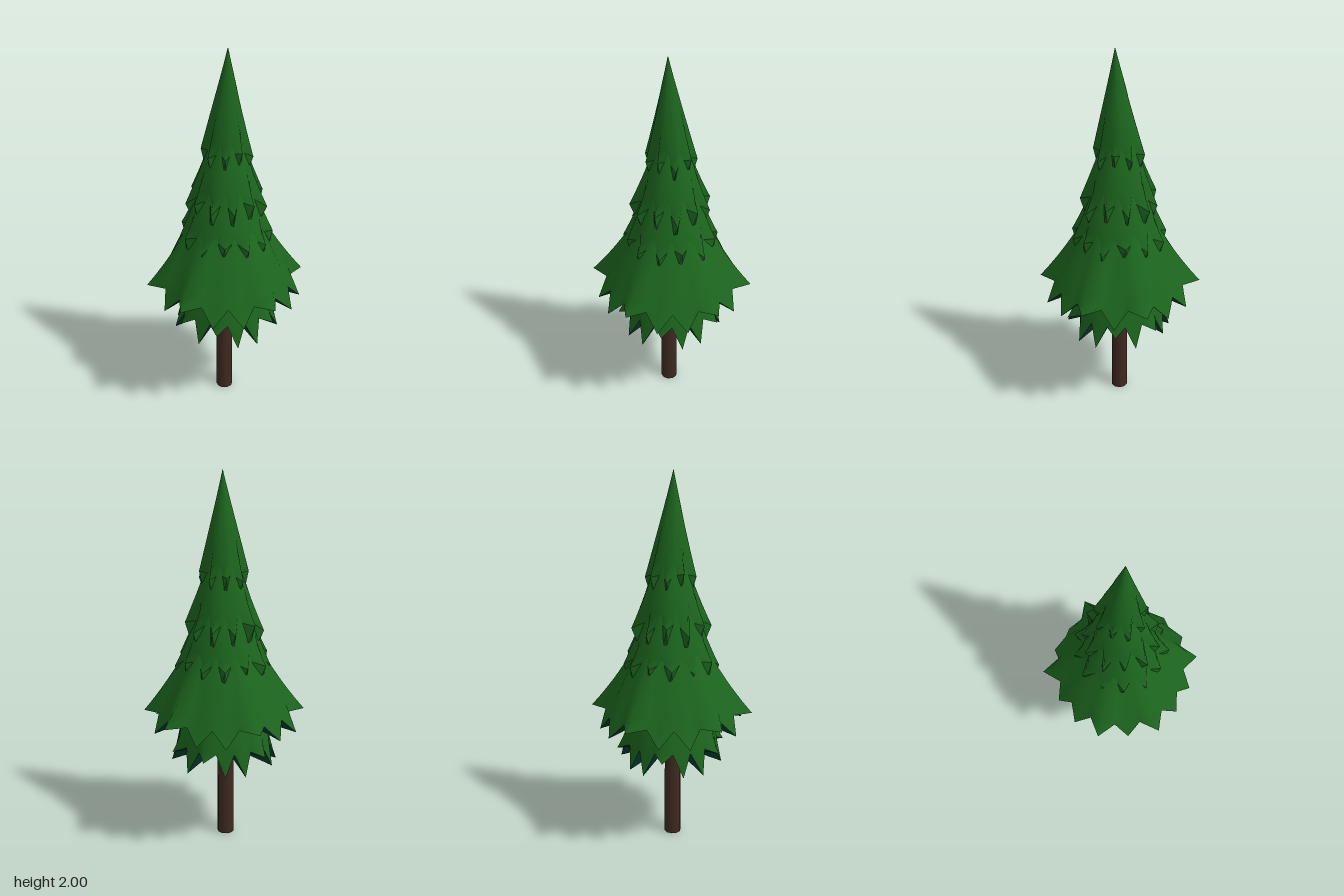
import * as THREE from 'three';

const needles = new THREE.MeshStandardMaterial({ color: 0x1c651e });
const underside = new THREE.MeshStandardMaterial({ color: 0x043a2d });
const bark = new THREE.MeshStandardMaterial({ color: 0x402a20 });

// Joins closed rings of points, listed from the top down and then inwards
function skin(rings) {
  const n = rings[0].length;
  const index = [];
  for (let j = 0; j < rings.length - 1; j++) {
    for (let i = 0; i < n; i++) {
      const a = j * n + i, b = j * n + (i + 1) % n;
      index.push(a, b, b + n, a, b + n, a + n);
    }
  }
  const g = new THREE.BufferGeometry();
  g.setAttribute('position', new THREE.Float32BufferAttribute(rings.flat(2), 3));
  g.setIndex(index);
  return g;
}

// One skirt of branches: a cone whose rim folds into spike tips and notches
function makeTier({ name, top, cone, tips, notch, inner, under, bend = 1.2, fold = 3, turn = 0, lean = 0 }) {
  const n = tips.length * 2;
  const rim = [];
  for (let i = 0; i < n; i++) rim.push(i % 2 ? notch : tips[i / 2]);
  const at = (i, r, y, z = 0) => {
    const a = turn + (i / n) * Math.PI * 2;
    return [r * Math.sin(a), y, z - r * Math.cos(a)];
  };
  const rings = [];
  for (let t = 0; t < 1.01; t += 0.125) {
    rings.push(rim.map(([r, y], i) => at(i,
      top[0] + (cone - top[0]) * t ** bend + (r - cone) * t ** fold,
      top[1] + (y - top[1]) * t, lean * (1 - t))));
  }
  const below = [rings[rings.length - 1], rim.map((p, i) => at(i, inner[0], inner[1]))];

  const branches = new THREE.Mesh(skin(rings), needles);
  branches.name = name + 'Branches';
  const shade = new THREE.Mesh(skin(below).toNonIndexed(), under);
  shade.name = name + 'Underside';
  for (const m of [branches, shade]) m.geometry.computeVertexNormals();

  const tier = new THREE.Group();
  tier.name = name;
  tier.add(branches, shade);
  return tier;
}

// Slightly uneven spike tips for the narrow tiers
function unevenTips(count, r, y, dr, dy) {
  return Array.from({ length: count }, (_, k) =>
    [r + dr * Math.sin(k * 2.3 + 1), y + dy * Math.sin(k * 3.7)]);
}

export function createModel() {
  const tree = new THREE.Group();
  tree.name = 'pineTree';

  // Trunk
  const trunk = new THREE.Mesh(new THREE.CylinderGeometry(0.044, 0.046, 0.62, 10), bark);
  trunk.name = 'trunk';
  trunk.position.set(-0.012, 0.31, 0.002);
  tree.add(trunk);

  // Wide skirt: long spikes lift, short spikes droop
  const wide = [0.4, 0.39, 0.44, 0.4, 0.43, 0.405, 0.41, 0.435,
    0.41, 0.406, 0.44, 0.4, 0.437, 0.41, 0.4, 0.44];
  const sixteenth = Math.PI / 16;

  tree.add(
    makeTier({
      name: 'bottomTier', top: [0.2, 0.78], cone: 0.275, notch: [0.245, 0.56], inner: [0.03, 0.52],
      tips: wide.map((r) => (r > 0.42 ? [0.3, 0.53] : [r - 0.12, 0.44])),
      under: underside, bend: 1, turn: -sixteenth,
    }),
    makeTier({
      name: 'wideTier', top: [0.14, 1.2], cone: 0.41, notch: [0.355, 0.735], inner: [0.08, 0.72],
      tips: wide.map((r) => [r, r > 0.42 ? 0.73 : 0.65]),
      under: underside, turn: sixteenth,
    }),
    // Upper tiers: tips stand proud, then taper back into the tier beneath
    makeTier({
      name: 'middleTier', top: [0.1, 1.4], cone: 0.25, notch: [0.195, 1.04], inner: [0.21, 0.84],
      tips: unevenTips(13, 0.254, 1.01, 0.008, 0.025), under: needles, turn: 0.2,
    }),
    makeTier({
      name: 'upperTier', top: [0.05, 1.65], cone: 0.207, notch: [0.135, 1.24], inner: [0.15, 1.03],
      tips: unevenTips(11, 0.21, 1.2, 0.008, 0.025), under: needles, turn: 0.5,
    }),
    makeTier({
      name: 'crownTier', top: [0, 2], cone: 0.134, notch: [0.085, 1.48], inner: [0.09, 1.3],
      tips: unevenTips(9, 0.135, 1.47, 0.005, 0.025), under: needles, bend: 1.05, turn: 0.1, lean: 0.02,
    }),
  );
  return tree;
}
